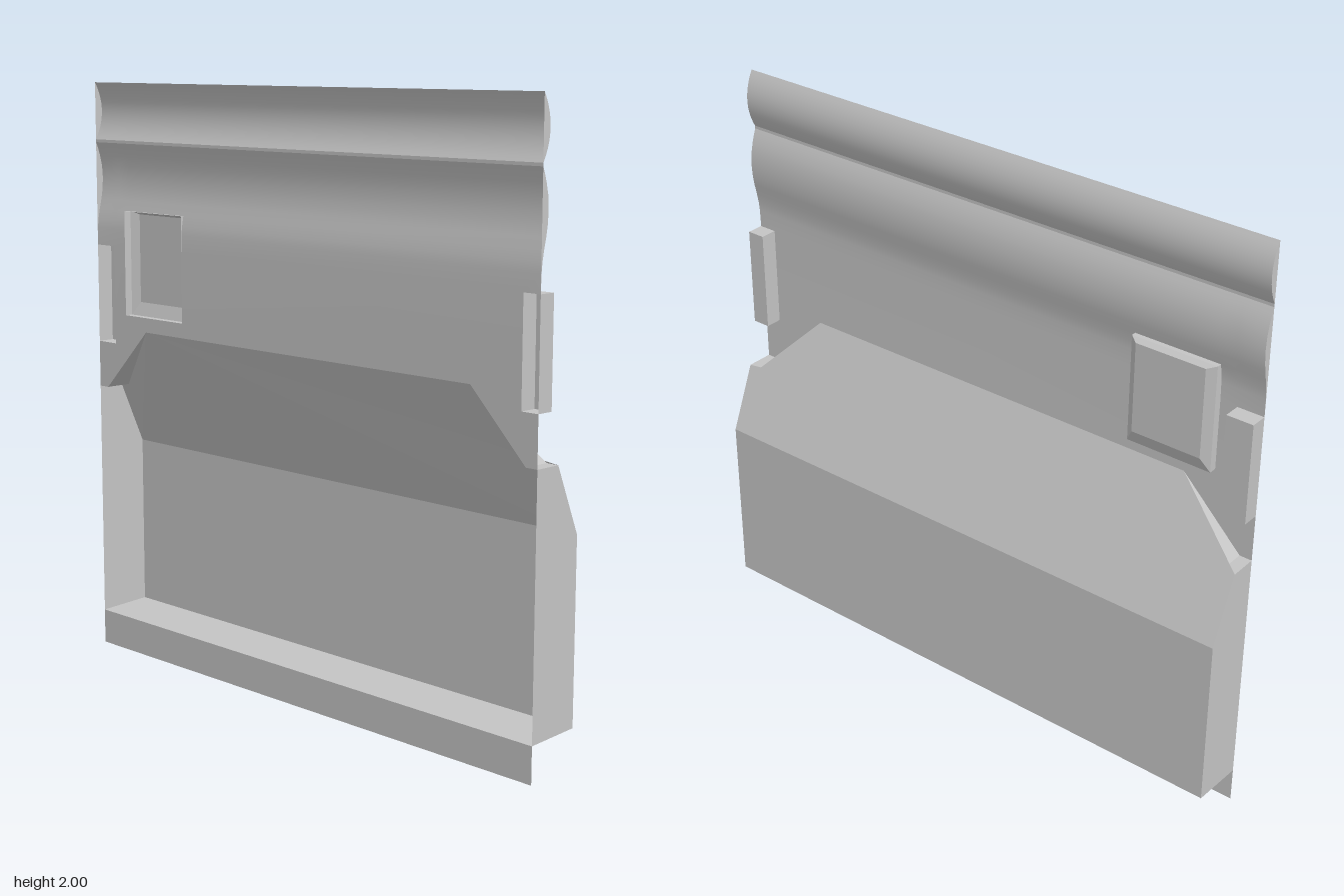
import * as THREE from 'three';

const FRONT = 0.093, BACK = -0.093;

export function createModel() {
  const model = new THREE.Group();
  model.name = 'moulded trim panel';
  const grey = new THREE.MeshStandardMaterial({ color: 0xc4c4c4, side: THREE.DoubleSide });
  grey.name = 'light grey';

  function add(name, geometry) {
    geometry.computeVertexNormals();
    const mesh = new THREE.Mesh(geometry, grey);
    mesh.name = name;
    model.add(mesh);
  }

  // Flat polygons, each filled as a fan from its first corner
  function addFaces(name, faces) {
    const pos = [];
    for (const f of faces)
      for (let i = 1; i < f.length - 1; i++) pos.push(...f[0], ...f[i], ...f[i + 1]);
    const g = new THREE.BufferGeometry();
    g.setAttribute('position', new THREE.Float32BufferAttribute(pos, 3));
    add(name, g);
  }

  // Smooth sheet: a [y, z] profile (top to bottom) swept over columns, with rectangular holes
  function addSheet(name, profile, xs, holes = []) {
    const pos = [], index = [], n = xs.length;
    for (const [y, z] of profile) for (const x of xs) pos.push(x, y, z);
    for (let r = 0; r < profile.length - 1; r++)
      for (let c = 0; c < n - 1; c++) {
        const x = (xs[c] + xs[c + 1]) / 2, y = (profile[r][0] + profile[r + 1][0]) / 2;
        if (holes.some(h => x > h.x0 && x < h.x1 && y > h.y0 && y < h.y1)) continue;
        const a = r * n + c, b = a + n;
        index.push(a, b, a + 1, b, b + 1, a + 1);
      }
    const g = new THREE.BufferGeometry();
    g.setAttribute('position', new THREE.Float32BufferAttribute(pos, 3));
    g.setIndex(index);
    add(name, g);
  }

  // Corners of an upright rectangle at depth z
  const rect = (x0, x1, y0, y1, z) => [[x0, y0, z], [x1, y0, z], [x1, y1, z], [x0, y1, z]];
  // Pocket made of successive rectangular rings, closed by the last one
  function addPocket(name, rings) {
    const faces = [rings[rings.length - 1]];
    for (let k = 0; k < rings.length - 1; k++)
      for (let i = 0; i < 4; i++) {
        const j = (i + 1) % 4;
        faces.push([rings[k][i], rings[k][j], rings[k + 1][j], rings[k + 1][i]]);
      }
    addFaces(name, faces);
  }

  // Upper grooves
  const topArc = [];
  for (let i = 0; i <= 14; i++) {
    const t = i / 7 - 1;
    topArc.push([1.9025 - t * 0.0975, FRONT - 0.028 * (1 - t * t)]);
  }
  const lowerCurve = [[1.795, FRONT], [1.775, 0.085], [1.75, 0.077], [1.715, 0.069], [1.67, 0.066],
    [1.63, 0.069], [1.6, 0.074], [1.565, 0.082], [1.53, 0.0885], [1.5, 0.0915], [1.44, FRONT]];
  const patch = { x0: -0.85, x1: -0.55, y0: 1.205, y1: 1.565 };
  const sidePockets = [
    { name: 'right side pocket', x0: -1, x1: -0.908, y0: 1.1, y1: 1.44 },
    { name: 'left side pocket', x0: 0.937, x1: 1, y0: 1.1, y1: 1.44 },
  ];
  addSheet('top groove', topArc, [-1, 1]);
  addSheet('upper panel', [...lowerCurve, [1.205, FRONT], [1.155, FRONT]],
    [-1, -0.908, -0.85, -0.55, 0.937, 1], [patch, ...sidePockets]);
  addFaces('groove divider', [rect(-1, 1, 1.795, 1.805, FRONT)]);
  for (const x of [-1, 1])
    addFaces('groove end caps', [topArc, lowerCurve].map(p => p.map(([y, z]) => [x, y, z])));

  // Pockets
  addPocket('bevelled patch', [
    rect(patch.x0, patch.x1, patch.y0, patch.y1, FRONT),
    rect(patch.x0, patch.x1, patch.y0, patch.y1, 0.066),
    rect(-0.82, -0.575, 1.25, 1.553, 0.05),
  ]);
  for (const p of sidePockets)
    addPocket(p.name, [rect(p.x0, p.x1, p.y0, p.y1, FRONT), rect(p.x0, p.x1, p.y0, p.y1, 0.035)]);

  // Large recess: sloped top, flat floor and bottom shelf
  addFaces('recess slope', [[
    [-0.742, 1.155, FRONT], [-0.957, 0.94, 0], [-1, 0.94, 0], [-1, 0.72, BACK],
    [1, 0.72, BACK], [1, 0.94, 0], [0.957, 0.94, 0], [0.742, 1.155, FRONT],
  ]]);
  addFaces('recess floor', [rect(-1, 1, 0.13, 0.72, BACK)]);
  addFaces('recess shelf', [[[-1, 0.12, FRONT], [1, 0.12, FRONT], [1, 0.13, BACK], [-1, 0.13, BACK]]]);
  addFaces('bottom strip', [rect(-1, 1, 0, 0.12, FRONT)]);

  // Recess sides, shoulder ledges and the panel corners above them
  for (const s of [-1, 1]) {
    const inner = s < 0 ? 0.908 : 0.937;
    const at = (x, y, z) => [s * x, y, z];
    addFaces('recess side wall', [[at(1, 0.12, FRONT), at(1, 0.13, BACK), at(1, 0.72, BACK),
      at(1, 0.94, 0), at(1, 0.94, FRONT)]]);
    addFaces('recess shoulder', [
      [at(1, 0.94, FRONT), at(1, 0.94, 0), at(0.957, 0.94, 0), at(0.957, 0.94, FRONT)],
      [at(0.957, 0.94, FRONT), at(0.957, 0.94, 0), at(0.742, 1.155, FRONT)],
    ]);
    addFaces('panel corner', [[at(inner, 1.1, FRONT), at(1, 1.1, FRONT), at(1, 0.94, FRONT),
      at(0.957, 0.94, FRONT), at(0.742, 1.155, FRONT), at(inner, 1.155, FRONT)]]);
  }
  return model;
}
